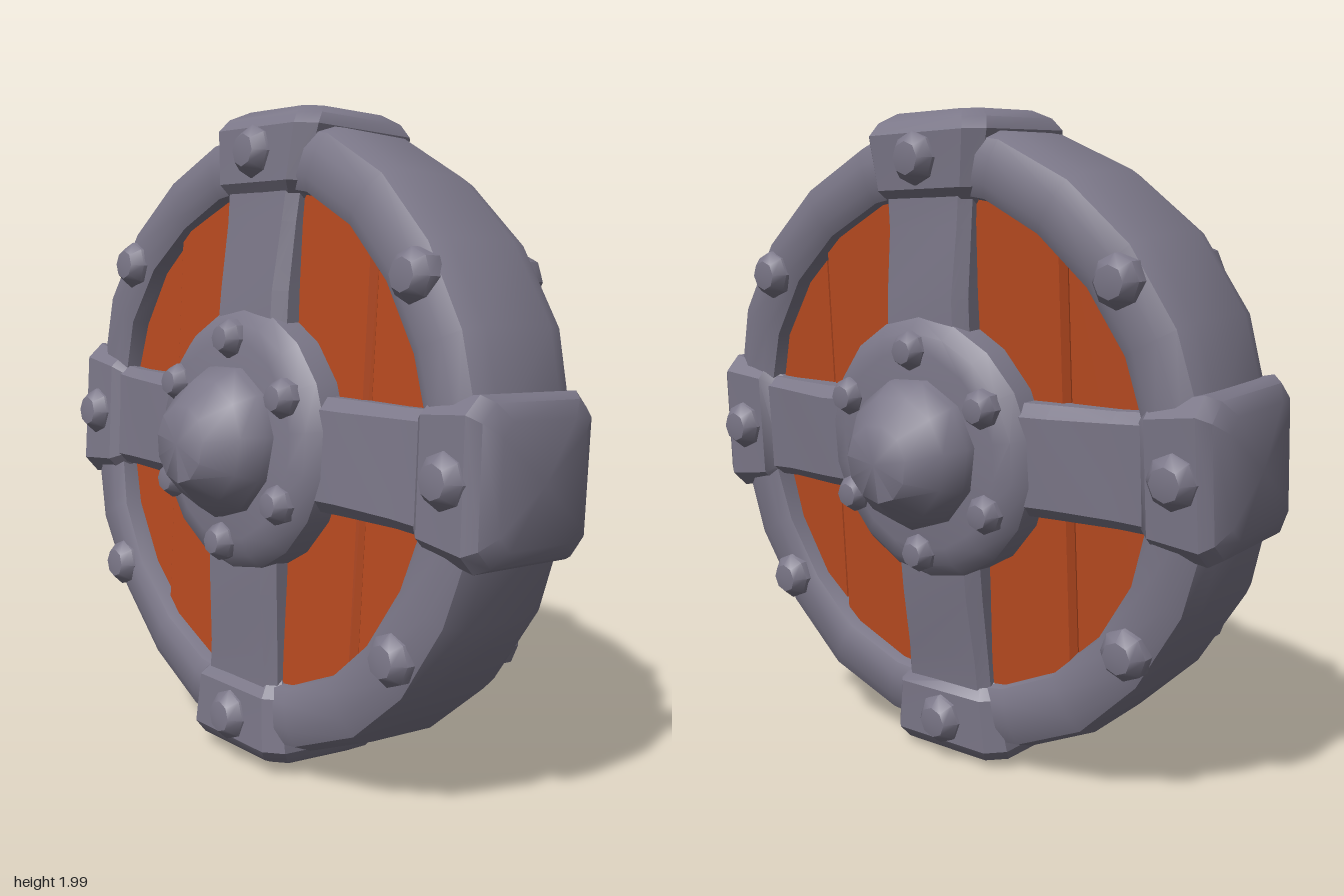
import * as THREE from 'three';
import { toCreasedNormals } from 'three/addons/utils/BufferGeometryUtils.js';

// Hand-hewn look: nudge each vertex by a smooth rule of its position
function hewn(geo, amount, crease = 0.6) {
  const p = geo.attributes.position;
  for (let i = 0; i < p.count; i++) {
    const x = p.getX(i), y = p.getY(i), z = p.getZ(i);
    p.setXYZ(i,
      x + amount * Math.sin(7 * y + 5 * z),
      y + amount * Math.sin(6 * x - 4 * z + 1),
      z + amount * Math.sin(5 * x + 8 * y + 2));
  }
  return toCreasedNormals(geo, crease);
}

// Lathe turned so that its axis is z; profile is [radius, z] pairs
function turned(profile, sides) {
  const pts = profile.map(([r, z]) => new THREE.Vector2(r, z));
  return new THREE.LatheGeometry(pts, sides).rotateX(Math.PI / 2);
}

// Loft of chamfered rectangles [y, halfWidth, halfDepth, chamfer], closed at the top
function loft(sections) {
  const pos = [], idx = [];
  for (const [y, w, d, c] of sections) {
    for (const [x, z] of [[w, -d + c], [w, d - c], [w - c, d], [-w + c, d],
      [-w, d - c], [-w, -d + c], [-w + c, -d], [w - c, -d]]) pos.push(x, y, z);
  }
  for (let s = 0; s < sections.length - 1; s++) {
    for (let i = 0; i < 8; i++) {
      const a = s * 8 + i, b = s * 8 + (i + 1) % 8;
      idx.push(a, a + 8, b, b, a + 8, b + 8);
    }
  }
  const last = (sections.length - 1) * 8, centre = sections.length * 8;
  pos.push(0, sections[sections.length - 1][0] + 0.006, 0);
  for (let i = 0; i < 8; i++) idx.push(centre, last + (i + 1) % 8, last + i);
  const geo = new THREE.BufferGeometry();
  geo.setAttribute('position', new THREE.Float32BufferAttribute(pos, 3));
  geo.setIndex(idx);
  return geo;
}

// Vertical slice of a disc between two x positions
function plankGeometry(x0, x1, radius, halfDepth) {
  const pts = [], n = 8;
  const height = x => Math.sqrt(Math.max(0, radius * radius - x * x));
  for (let i = 0; i <= n; i++) {
    const x = x0 + (x1 - x0) * i / n;
    pts.push(new THREE.Vector2(x, -height(x)));
  }
  for (let i = n; i >= 0; i--) {
    const x = x0 + (x1 - x0) * i / n;
    pts.push(new THREE.Vector2(x, height(x)));
  }
  const bevel = 0.022;
  const geo = new THREE.ExtrudeGeometry(new THREE.Shape(pts), {
    depth: 2 * (halfDepth - bevel), bevelEnabled: true, bevelSegments: 1,
    bevelSize: 0.014, bevelOffset: -0.014, bevelThickness: bevel,
  });
  return geo.translate(0, 0, -(halfDepth - bevel));
}

export function createModel() {
  const metal = new THREE.MeshStandardMaterial({ color: 0x7b7788 });
  metal.name = 'grey metal';
  const wood = new THREE.MeshStandardMaterial({ color: 0xb84a20 });
  wood.name = 'orange wood';

  const model = new THREE.Group();
  model.name = 'roundShield';
  const shield = new THREE.Group();
  shield.name = 'shieldBody';
  shield.position.set(0, 1, -0.02);
  shield.rotation.set(-0.06, 0.008, 0);
  model.add(shield);

  const add = (parent, name, geo, mat) => {
    const mesh = new THREE.Mesh(geo, mat);
    mesh.name = name;
    parent.add(mesh);
    return mesh;
  };

  // Wooden planks filling the ring
  const seams = [-0.78, -0.47, 0, 0.475, 0.78];
  for (let i = 0; i < 4; i++) {
    const depth = i === 0 || i === 3 ? 0.145 : 0.16;
    add(shield, 'plank', plankGeometry(seams[i], seams[i + 1], 0.81, depth), wood);
  }

  // Heavy outer rim, chamfered on both faces
  const half = [[0.952, 0.12], [0.93, 0.18], [0.88, 0.203], [0.80, 0.208], [0.76, 0.19], [0.742, 0.13]];
  const back = half.map(([r, z]) => [r, -z]).reverse();
  add(shield, 'rim', hewn(turned([...back.slice(-1), ...half, ...back], 22), 0.007), metal);

  // Four cross arms with thick end caps
  for (let i = 0; i < 4; i++) {
    const arm = new THREE.Group();
    arm.name = 'crossArm';
    arm.rotation.z = i * Math.PI / 2;
    shield.add(arm);
    add(arm, 'spoke', hewn(loft([
      [0.2, 0.165, 0.245, 0.035], [0.45, 0.163, 0.235, 0.035],
      [0.65, 0.163, 0.212, 0.03], [0.8, 0.17, 0.205, 0.03],
    ]), 0.003), metal);
    add(arm, 'endCap', hewn(loft([
      [0.715, 0.165, 0.19, 0.03], [0.765, 0.2, 0.228, 0.04],
      [0.925, 0.228, 0.23, 0.05], [0.96, 0.21, 0.205, 0.05], [0.985, 0.165, 0.155, 0.04],
    ]), 0.004), metal);
  }

  // Hub disc
  add(shield, 'hub', hewn(turned([
    [0, -0.29], [0.3, -0.288], [0.355, -0.275], [0.395, -0.235], [0.4, -0.15],
    [0.4, 0.15], [0.395, 0.235], [0.355, 0.275], [0.3, 0.288], [0, 0.29],
  ], 18), 0.004), metal);

  // Bosses and rivets, the same on front and back
  const bossGeo = hewn(turned([
    [0.232, 0.26], [0.228, 0.315], [0.19, 0.375], [0.115, 0.452], [0, 0.462],
  ], 11), 0.005, 0.75);
  const rivetGeo = toCreasedNormals(turned([
    [1, -0.6], [1, 0.25], [0.62, 0.8], [0, 0.92],
  ], 8), 0.75);
  for (const turn of [0, Math.PI]) {
    const face = new THREE.Group();
    face.name = turn ? 'backFace' : 'frontFace';
    face.rotation.y = turn;
    shield.add(face);
    add(face, 'boss', bossGeo, metal);

    const rivet = (name, radius, angle, z, size, height) => {
      const mesh = add(face, name, rivetGeo, metal);
      mesh.position.set(radius * Math.cos(angle), radius * Math.sin(angle), z);
      mesh.scale.set(size, size, height);
    };
    for (let i = 0; i < 6; i++) {
      rivet('hubRivet', 0.305, Math.PI / 2 + i * Math.PI / 3, 0.28, 0.058, 0.06);
    }
    for (let i = 0; i < 4; i++) {
      const a = i * Math.PI / 2;
      rivet('capRivet', 0.855, a, 0.222, 0.077, 0.062);
      const diagonal = 0.645;
      rivet('rimRivet', 0.85, i % 2 ? a + Math.PI / 2 - diagonal : a + diagonal, 0.2, 0.075, 0.06);
    }
  }
  return model;
}
